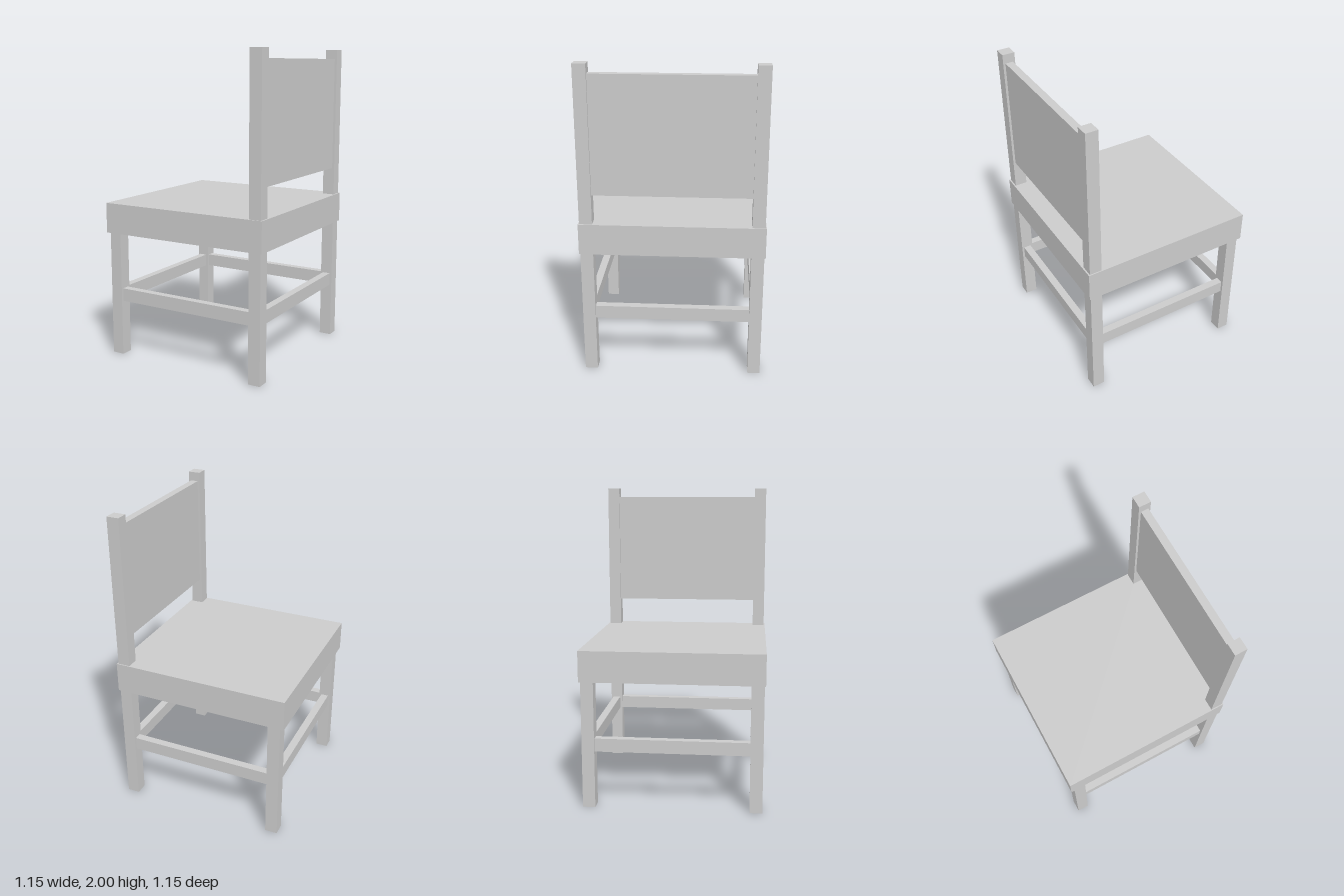
import * as THREE from 'three';

const material = new THREE.MeshStandardMaterial({ color: 0xcccccc, flatShading: true });

// Box given by its extents along each axis
function slab(name, [x0, x1], [y0, y1], [z0, z1]) {
  const mesh = new THREE.Mesh(new THREE.BoxGeometry(x1 - x0, y1 - y0, z1 - z0), material);
  mesh.name = name;
  mesh.position.set((x0 + x1) / 2, (y0 + y1) / 2, (z0 + z1) / 2);
  return mesh;
}

const around = (centre, width) => [centre - width / 2, centre + width / 2];

export function createModel() {
  const chair = new THREE.Group();
  chair.name = 'chair';

  const leg = 0.08, rail = 0.05;
  const frontX = -0.51, backX = 0.525, sideZ = 0.528;
  const railY = [0.365, 0.45];
  const spanX = [frontX + leg / 2, backX - leg / 2];
  const spanZ = [-sideZ + leg / 2, sideZ - leg / 2];

  // Seat
  chair.add(slab('seat', [-0.575, 0.575], [0.82, 1.017], [-0.575, 0.575]));

  // Short front legs, tall back posts and side stretchers
  for (const s of [-1, 1]) {
    const z = around(s * sideZ, leg);
    chair.add(slab('frontLeg', around(frontX, leg), [0, 0.82], z));
    chair.add(slab('backPost', around(backX, leg), [0, 2], z));
    chair.add(slab('sideStretcher', spanX, railY, around(s * sideZ, rail)));
  }

  // Cross stretchers between the legs
  chair.add(slab('frontStretcher', around(frontX, rail), railY, spanZ));
  chair.add(slab('backStretcher', around(backX, rail), railY, spanZ));

  // Backrest panel between the posts
  chair.add(slab('backrest', around(backX, rail), [1.2, 1.94], spanZ));

  return chair;
}
